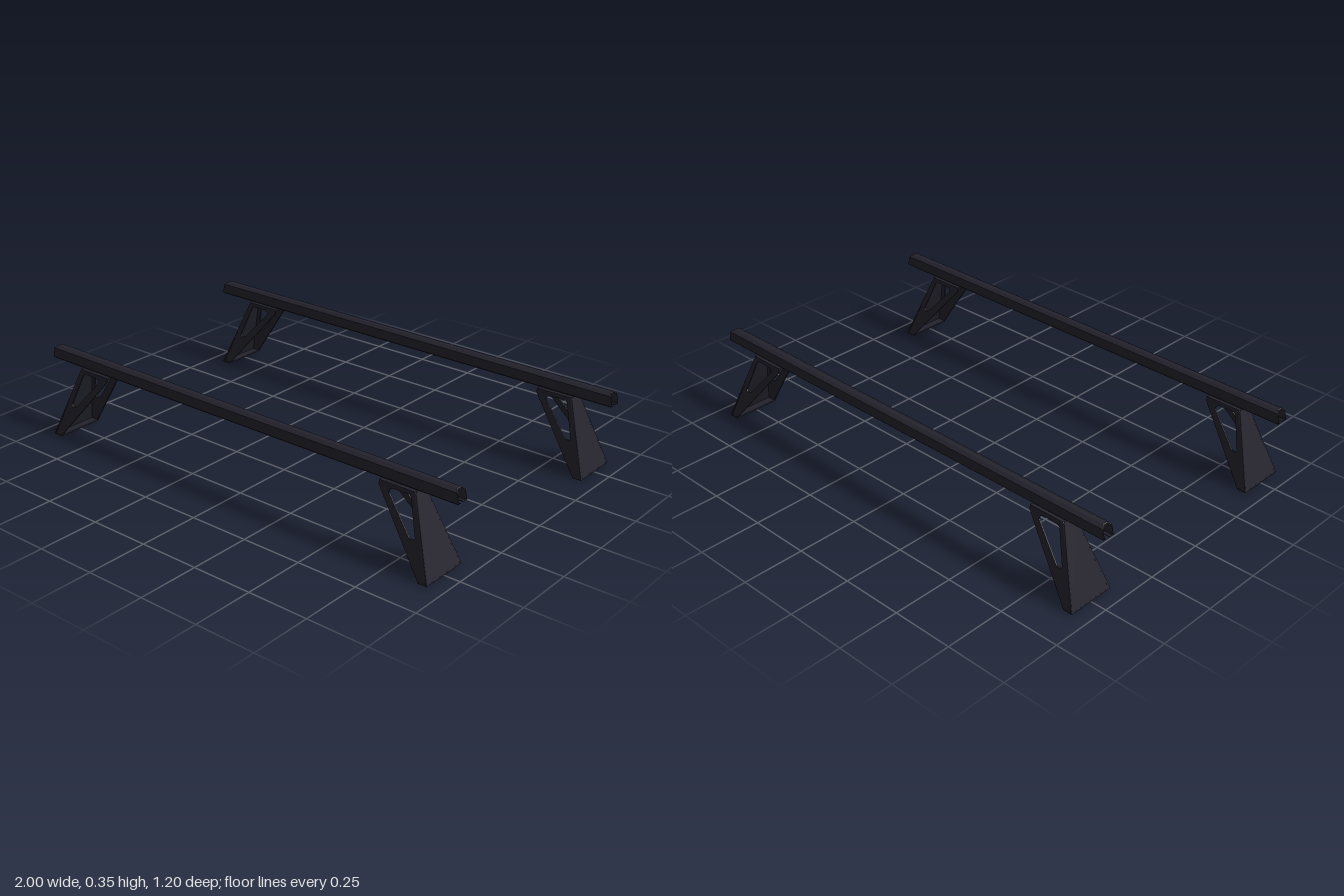
import * as THREE from 'three';

const black = new THREE.MeshStandardMaterial({ color: 0x24232d });
black.name = 'satin black';

const toShape = (pts) => new THREE.Shape(pts.map(([x, y]) => new THREE.Vector2(x, y)));
const toPath = (pts) => new THREE.Path(pts.map(([x, y]) => new THREE.Vector2(x, y)));

function extrude(shape, depth) {
  return new THREE.ExtrudeGeometry(shape, { depth, bevelEnabled: false });
}

// Move every vertex by a rule, then refresh the flat normals
function warp(geometry, rule) {
  const p = geometry.attributes.position;
  const v = new THREE.Vector3();
  for (let i = 0; i < p.count; i++) {
    rule(v.fromBufferAttribute(p, i));
    p.setXYZ(i, v.x, v.y, v.z);
  }
  geometry.computeVertexNormals();
  return geometry;
}

function part(parent, name, geometry, x = 0, y = 0, z = 0) {
  const mesh = new THREE.Mesh(geometry, black);
  mesh.name = name;
  mesh.position.set(x, y, z);
  parent.add(mesh);
  return mesh;
}

// Hollow rail with a slot along its underside and raked ends
function railGeometry() {
  const half = [
    [0.008, 0.296], [0.02, 0.296], [0.0245, 0.301], [0.0245, 0.341], [0.01, 0.35],
  ];
  const inner = [
    [0.008, 0.299], [0.019, 0.299], [0.0215, 0.302], [0.0215, 0.339], [0.009, 0.347],
  ];
  const flip = (pts) => pts.map(([x, y]) => [-x, y]);
  const outline = [
    ...half, ...flip(half).reverse(),
    ...flip(inner), ...inner.slice().reverse(),
  ];
  const g = extrude(toShape(outline), 2);
  g.translate(0, 0, -1);
  g.rotateY(Math.PI / 2);
  return warp(g, (v) => {
    const pull = Math.max(0, v.y - 0.33) * 1.1 + Math.max(0, 0.304 - v.y);
    v.x = Math.sign(v.x) * (1 - pull);
  });
}

// Half width of a foot at a given height
const splay = (y) => 0.03 + (0.285 - Math.min(y, 0.285)) * 0.07 / 0.285;

// Open triangular side plate, leaning outward toward the base
function sideGeometry(side) {
  const shape = toShape([
    [0.895, 0.004], [0.935, 0.004], [0.83, 0.285], [0.822, 0.292],
    [0.675, 0.292], [0.675, 0.275],
  ]);
  shape.holes.push(toPath([
    [0.856, 0.14], [0.85, 0.133], [0.832, 0.135], [0.722, 0.258],
    [0.722, 0.268], [0.735, 0.276], [0.805, 0.276], [0.812, 0.27],
  ]));
  const g = extrude(shape, 0.006);
  g.translate(0, 0, -0.003);
  return warp(g, (v) => { v.z += side * (splay(v.y) - 0.003); });
}

// Solid tapered outer plate, sloping in toward the rail
function outerGeometry() {
  const g = extrude(toShape([
    [-0.102, 0.004], [0.102, 0.004], [0.031, 0.28], [0.025, 0.292],
    [-0.025, 0.292], [-0.031, 0.28],
  ]), 0.006);
  g.rotateY(Math.PI / 2);
  return warp(g, (v) => { v.x += 0.93 - v.y * 0.372; });
}

function makeFoot() {
  const foot = new THREE.Group();
  foot.name = 'foot';
  part(foot, 'outerPlate', outerGeometry());
  for (const side of [-1, 1]) part(foot, 'sidePlate', sideGeometry(side));
  part(foot, 'topPlate', new THREE.BoxGeometry(0.15, 0.008, 0.05), 0.75, 0.288, 0);
  part(foot, 'basePlate', new THREE.BoxGeometry(0.04, 0.006, 0.198), 0.914, 0.003, 0);
  // Clamp running through the slot into the rail
  part(foot, 'clampNeck', new THREE.BoxGeometry(0.12, 0.014, 0.014), 0.75, 0.297, 0);
  part(foot, 'clampBlock', new THREE.BoxGeometry(0.12, 0.012, 0.042), 0.75, 0.307, 0);
  return foot;
}

export function createModel() {
  const model = new THREE.Group();
  model.name = 'roofBars';
  for (const z of [-0.5, 0.5]) {
    const bar = new THREE.Group();
    bar.name = z > 0 ? 'frontBar' : 'rearBar';
    bar.position.z = z;
    part(bar, 'rail', railGeometry());
    const left = makeFoot();
    left.name = 'leftFoot';
    const right = makeFoot();
    right.name = 'rightFoot';
    right.rotation.y = Math.PI;
    bar.add(left, right);
    model.add(bar);
  }
  return model;
}
